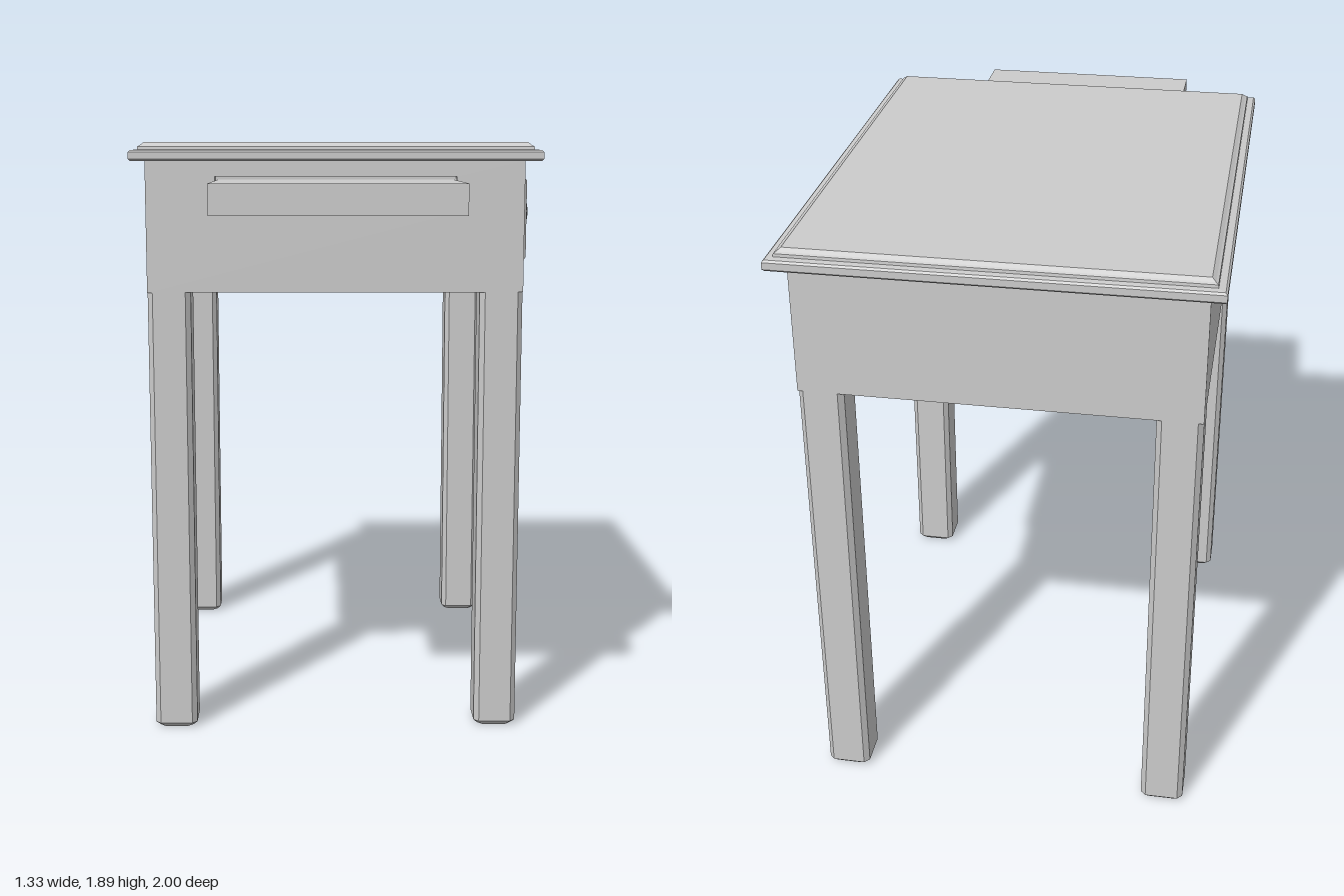
import * as THREE from 'three';

const material = new THREE.MeshStandardMaterial({ color: 0xcccccc, flatShading: true });
const smooth = new THREE.MeshStandardMaterial({ color: 0xcccccc });

function add(parent, name, geometry, x, y, z, mat = material) {
  const mesh = new THREE.Mesh(geometry, mat);
  mesh.name = name;
  mesh.position.set(x, y, z);
  parent.add(mesh);
  return mesh;
}

// Corners of a rectangle, optionally with cut corners
function outline(w, d, cut) {
  const a = w / 2, b = d / 2, c = cut;
  if (!c) return [[a, b], [a, -b], [-a, -b], [-a, b]];
  return [[a - c, b], [a, b - c], [a, -b + c], [a - c, -b],
    [-a + c, -b], [-a, -b + c], [-a, b - c], [-a + c, b]];
}

// Closed solid from stacked rectangles; profile lists [inset, height] upwards
function stack(w, d, cut, profile) {
  const rings = profile.map(([inset, y]) =>
    outline(w - 2 * inset, d - 2 * inset, cut).map(([x, z]) => [x, y, z]));
  const n = rings[0].length, pos = [];
  const tri = (a, b, c) => pos.push(...a, ...b, ...c);
  for (let r = 0; r + 1 < rings.length; r++) {
    const lo = rings[r], hi = rings[r + 1];
    for (let i = 0; i < n; i++) {
      const j = (i + 1) % n;
      tri(lo[i], lo[j], hi[j]);
      tri(lo[i], hi[j], hi[i]);
    }
  }
  const bottom = rings[0], top = rings[rings.length - 1];
  for (let i = 1; i + 1 < n; i++) {
    tri(bottom[0], bottom[i + 1], bottom[i]);
    tri(top[0], top[i], top[i + 1]);
  }
  const g = new THREE.BufferGeometry();
  g.setAttribute('position', new THREE.Float32BufferAttribute(pos, 3));
  g.computeVertexNormals();
  return g;
}

function rectPath(path, x0, x1, y0, y1) {
  path.moveTo(x0, y0);
  path.lineTo(x1, y0);
  path.lineTo(x1, y1);
  path.lineTo(x0, y1);
  path.closePath();
  return path;
}

export function createModel() {
  const table = new THREE.Group();
  table.name = 'sideTable';
  const x0 = -0.62, x1 = 0.56, z0 = -0.935, z1 = 0.52;
  const cx = (x0 + x1) / 2, panel = 0.05;

  // Box body with a slotted front panel
  const depth = z1 - panel - z0;
  add(table, 'body', new THREE.BoxGeometry(x1 - x0, 0.41, depth), cx, 1.635, z0 + depth / 2);
  const face = rectPath(new THREE.Shape(), x0, x1, 1.43, 1.84);
  face.holes.push(rectPath(new THREE.Path(), -0.405, 0.348, 1.68, 1.79));
  add(table, 'frontPanel', new THREE.ExtrudeGeometry(face, { depth: panel, bevelEnabled: false }),
    0, 0, z1 - panel);

  // Pull-out tray
  add(table, 'pullOutTray', new THREE.BoxGeometry(0.735, 0.09, 0.53), -0.028, 1.735, 0.735);

  // Moulded table top
  add(table, 'tableTop', stack(1.275, 1.575, 0, [
    [0.006, 1.838], [0, 1.844], [0, 1.865], [0.006, 1.871], [0.026, 1.873],
    [0.027, 1.882], [0.034, 1.886], [0.045, 1.895]]), -0.0275, 0, -0.2125);

  // Four square legs with eased edges
  const w = 0.135;
  const legShape = stack(w, w, 0.016, [[0.014, 0], [0, 0.015], [0, 1.435]]);
  for (const x of [x0 + w / 2, x1 - w / 2])
    for (const z of [z0 + w / 2, z1 - w / 2]) add(table, 'leg', legShape, x, 0, z);

  // Drawer on the left side: moulded rim around a shallow recessed panel
  const drawer = new THREE.Group();
  drawer.name = 'drawer';
  drawer.position.set(x1, 1.645, -0.205);
  drawer.rotation.z = -Math.PI / 2;
  table.add(drawer);
  add(drawer, 'drawerFront', stack(0.28, 0.89, 0, [
    [0, -0.005], [0, 0.022], [0.004, 0.035], [0.014, 0.045], [0.026, 0.045],
    [0.032, 0.036], [0.046, 0.032], [0.066, 0.032]]), 0, 0, 0);

  // Turned knob
  const profile = [[0.022, 0.03], [0.016, 0.042], [0.014, 0.06], [0.02, 0.069], [0.04, 0.07],
    [0.047, 0.075], [0.049, 0.083], [0.047, 0.092], [0.04, 0.099], [0.03, 0.102],
    [0.024, 0.1], [0, 0.1]].map(([r, y]) => new THREE.Vector2(r, y));
  add(drawer, 'knob', new THREE.LatheGeometry(profile, 32), -0.005, 0, 0, smooth);

  return table;
}
